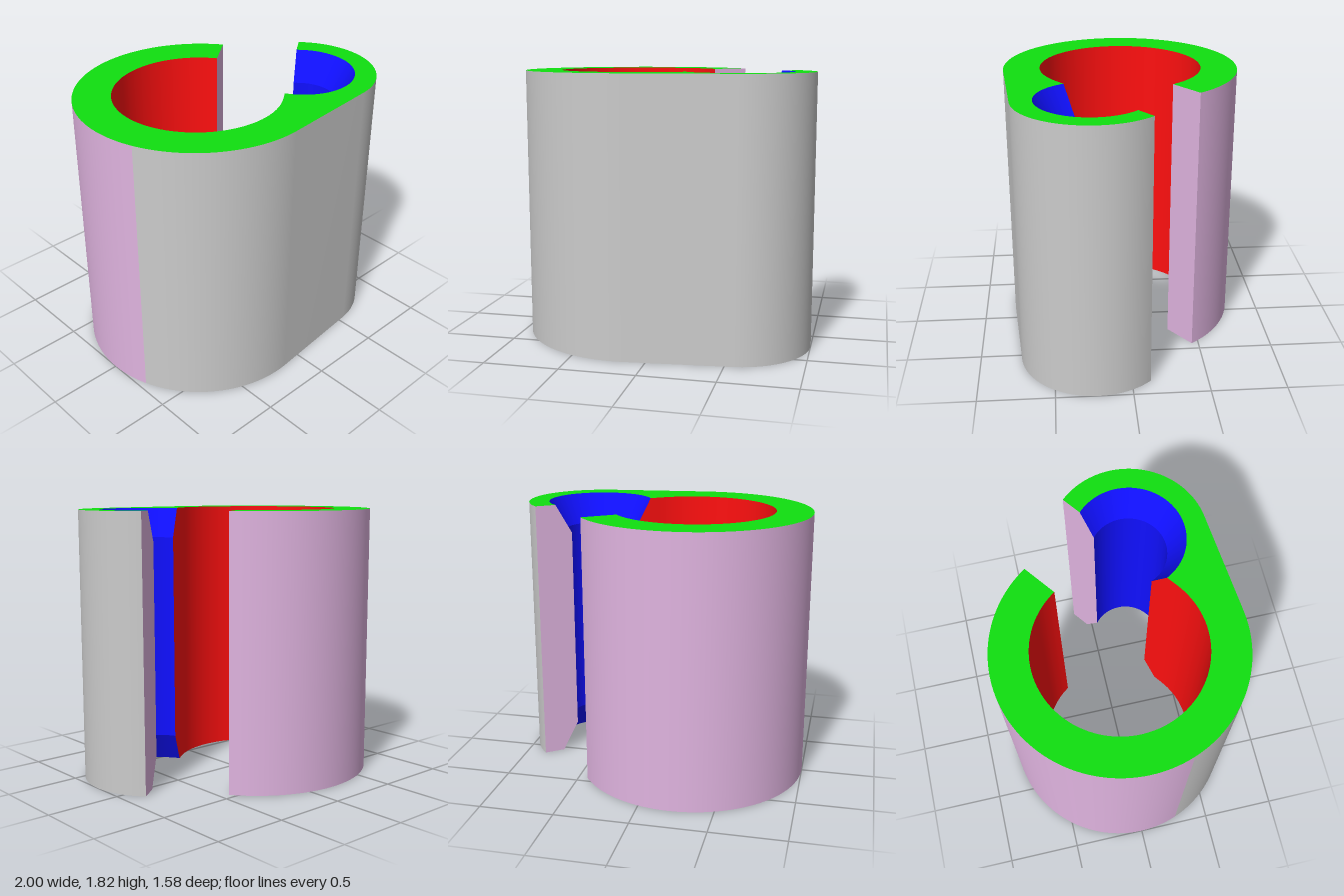
import * as THREE from 'three';

const HEIGHT = 1.82, FLARE = 0.2;
const RAD = Math.PI / 180;
const BIG = { x: -0.21, z: 0, outer: 0.79, inner: 0.545 };
const SMALL = { x: 0.5, z: 0.225, outer: 0.5, waist: 0.25, mouth: 0.36 };
const SLOT = 53 * RAD;           // direction across the slot, in the x-z plane
const SLOT_NEAR = -0.1, SLOT_FAR = 0.419;

const across = (c) => c.x * Math.cos(SLOT) + c.z * Math.sin(SLOT);

// angle away from the slot direction at which a circle meets a slot side
const meet = (c, r, side) => Math.acos((side - across(c)) / r);

function arc(c, r, a0, a1, n) {
  const pts = [];
  for (let i = 0; i <= n; i++) {
    const a = a0 + (a1 - a0) * i / n;
    pts.push([c.x + r * Math.cos(a), c.z + r * Math.sin(a)]);
  }
  return pts;
}

// wall strip between a lower and an upper path of [x, z] points
function band(lower, y0, upper, y1) {
  const pos = [], idx = [];
  lower.forEach(([x, z], i) => pos.push(x, y0, z, upper[i][0], y1, upper[i][1]));
  for (let i = 0; i < lower.length - 1; i++) {
    const a = i * 2;
    idx.push(a, a + 2, a + 3, a, a + 3, a + 1);
  }
  const g = new THREE.BufferGeometry();
  g.setAttribute('position', new THREE.Float32BufferAttribute(pos, 3));
  g.setIndex(idx);
  g.computeVertexNormals();
  return g;
}

export function createModel() {
  const group = new THREE.Group();
  const mat = (color) => new THREE.MeshStandardMaterial({ color });
  const grey = mat(0xcccccc), mauve = mat(0xe0b4e0), red = mat(0xff1010);
  const blue = mat(0x1010ff), green = mat(0x10e010), maroon = mat(0x70104a);
  const add = (name, geometry, material) => {
    const mesh = new THREE.Mesh(geometry, material);
    mesh.name = name;
    group.add(mesh);
  };
  const wall = (name, pts, material) => add(name, band(pts, 0, pts, HEIGHT), material);

  // outer skin: big cylinder, tangent flat, small cylinder
  const dx = SMALL.x - BIG.x, dz = SMALL.z - BIG.z;
  const tangent = Math.atan2(dz, dx) + Math.acos((BIG.outer - SMALL.outer) / Math.hypot(dx, dz));
  const split = -200 * RAD;
  const start = SLOT - meet(BIG, BIG.outer, SLOT_NEAR);
  const back = arc(BIG, BIG.outer, start, split, 64);
  const front = [
    ...arc(BIG, BIG.outer, split, tangent - 2 * Math.PI, 32),
    ...arc(SMALL, SMALL.outer, tangent, SLOT - meet(SMALL, SMALL.outer, SLOT_FAR), 48),
  ];
  wall('backShell', back, mauve);
  wall('frontShell', front, grey);

  // small bore, flared at both mouths, with the hook's end face following it
  const bore = (r) => {
    const m = meet(SMALL, r, SLOT_FAR);
    return arc(SMALL, r, SLOT - m, SLOT + m, 48);
  };
  const mouth = bore(SMALL.mouth), waist = bore(SMALL.waist);
  const tip = front[front.length - 1];

  // big bore and the slot side that joins it to the small bore
  const bigBore = arc(BIG, BIG.inner, SLOT, SLOT + 2 * Math.PI - meet(BIG, BIG.inner, SLOT_NEAR), 80);
  const levels = [[0, mouth], [FLARE, waist], [HEIGHT - FLARE, waist], [HEIGHT, mouth]];
  for (let i = 0; i < 3; i++) {
    const [y0, low] = levels[i], [y1, high] = levels[i + 1];
    add('smallBore', band(low, y0, high, y1), blue);
    add('hookEnd', band([tip, low[0]], y0, [tip, high[0]], y1), mauve);
    add('slotSide', band([low[48], bigBore[0]], y0, [high[48], bigBore[0]], y1), red);
  }
  wall('bigBore', bigBore, red);
  wall('ringEnd', [bigBore[80], back[0]], mauve);

  // flat top and bottom faces
  const outline = [...back, ...front.slice(1), ...mouth, ...bigBore];
  const cap = (sign) => new THREE.ShapeGeometry(
    new THREE.Shape(outline.map(([x, z]) => new THREE.Vector2(x, -sign * z)))
  ).rotateX(-sign * Math.PI / 2);
  add('topFace', cap(1).translate(0, HEIGHT, 0), green);
  add('bottomFace', cap(-1), maroon);
  return group;
}
